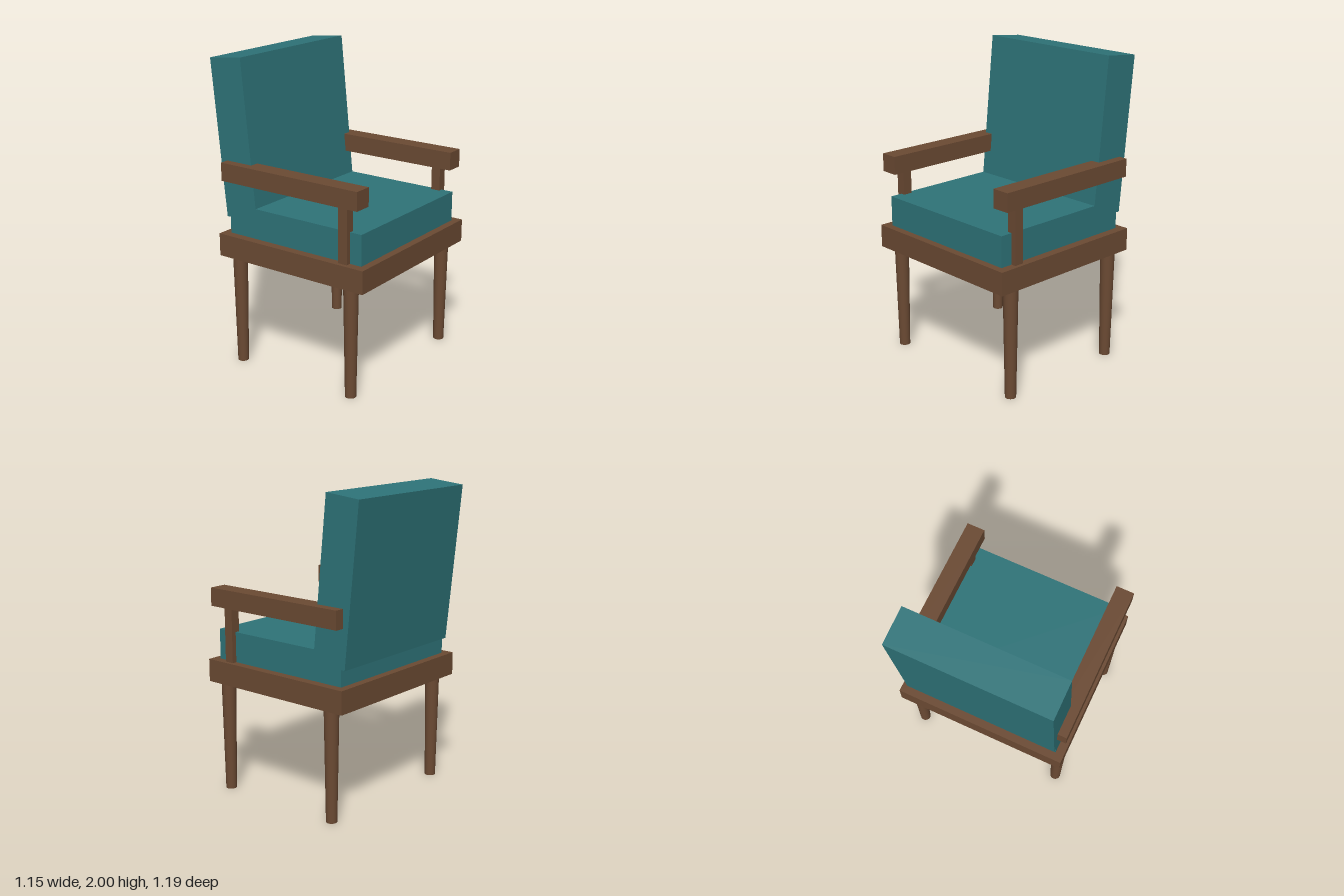
import * as THREE from 'three';

export function createModel() {
  const chair = new THREE.Group();
  chair.name = 'armchair';

  const wood = new THREE.MeshStandardMaterial({ color: 0x6b4a33 });
  wood.name = 'brown wood';
  const fabric = new THREE.MeshStandardMaterial({ color: 0x2e7378 });
  fabric.name = 'teal fabric';

  const add = (name, geometry, material, x, y, z) => {
    const mesh = new THREE.Mesh(geometry, material);
    mesh.name = name;
    mesh.position.set(x, y, z);
    chair.add(mesh);
    return mesh;
  };
  const box = (w, h, d) => new THREE.BoxGeometry(w, h, d);

  // Seat frame and cushion
  add('seatFrame', box(1.146, 0.148, 1.108), wood, 0, 0.792, 0.037);
  add('seatCushion', box(1.034, 0.197, 1.01), fabric, 0, 0.9645, 0.038);

  // Backrest leaning backwards
  const back = add('backCushion', box(1.034, 1.01, 0.243), fabric, 0, 1.485, -0.423);
  back.rotation.x = -0.1;

  // Mirrored arms, posts and tapered legs
  const armGeometry = box(0.118, 0.118, 1.032);
  const postGeometry = box(0.062, 0.356, 0.062);
  const legGeometry = new THREE.CylinderGeometry(0.047, 0.035, 0.718, 24);
  for (const [side, s] of [['left', 1], ['right', -1]]) {
    const x = s * 0.518;
    add(side + 'Armrest', armGeometry, wood, x, 1.281, 0.036);
    add(side + 'ArmPost', postGeometry, wood, x, 1.044, 0.431);
    add(side + 'FrontLeg', legGeometry, wood, x, 0.359, 0.471);
    add(side + 'BackLeg', legGeometry, wood, x, 0.359, -0.394);
  }

  return chair;
}
